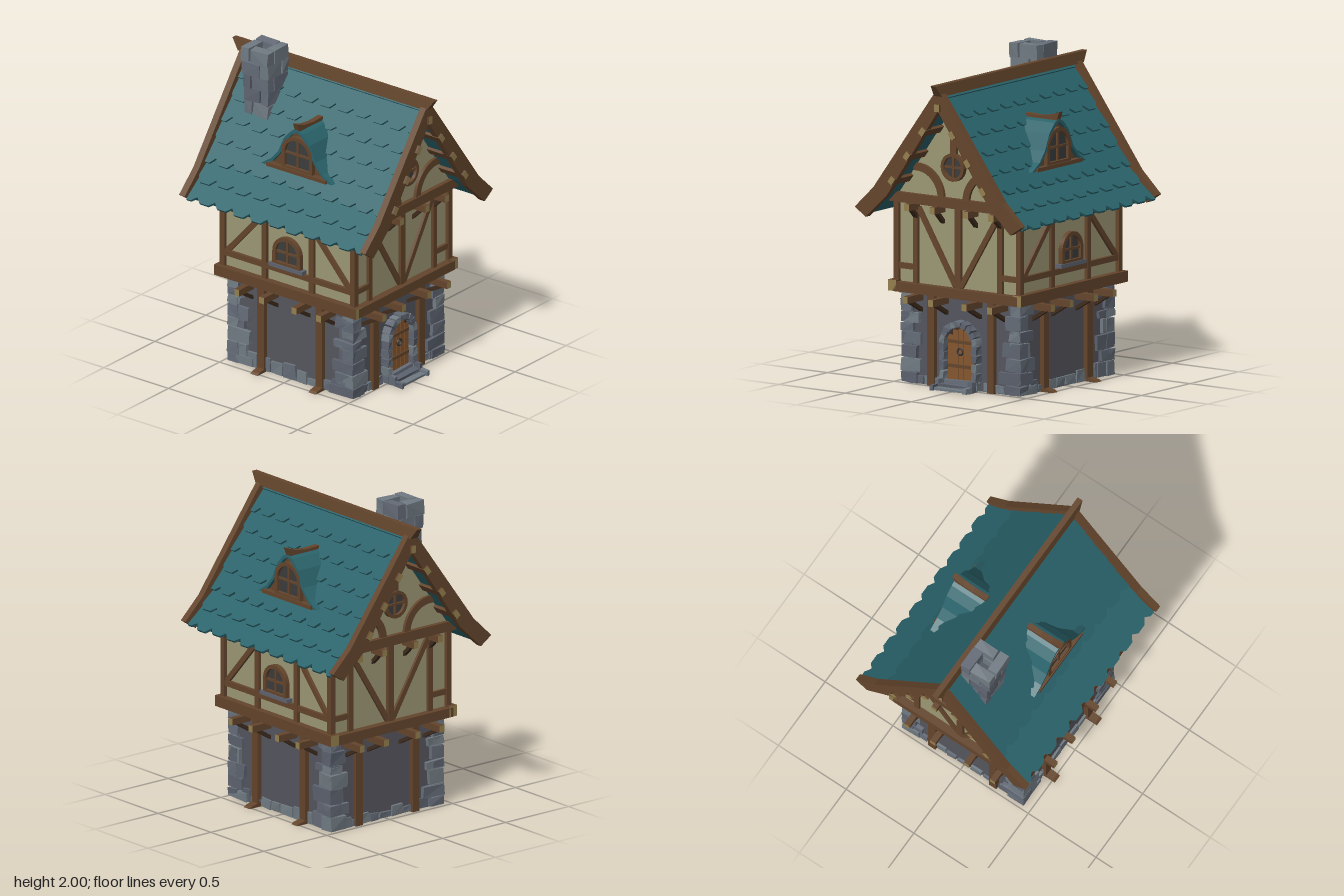
import * as THREE from 'three';
import { mergeGeometries } from 'three/addons/utils/BufferGeometryUtils.js';

const mat = (color) => new THREE.MeshStandardMaterial({ color, flatShading: true, side: THREE.DoubleSide });
const wood = mat(0x64452c), darkWood = mat(0x3f2c1e), endGrain = mat(0x94804f), doorWood = mat(0x84562f);
const plaster = mat(0x9c9774), wallGrey = mat(0x55565e), teal = mat(0x2a636b), glass = mat(0x3b3c3d), iron = mat(0x333336);
const stones = [mat(0x666d79), mat(0x5d636f), mat(0x707a82)];

let seed = 7;
const rnd = () => (seed = (seed * 16807) % 2147483647) / 2147483647;
const V = (x, y, z) => new THREE.Vector3(x, y, z);

function add(parent, name, geo, material, x = 0, y = 0, z = 0) {
  const m = new THREE.Mesh(geo, material);
  m.name = name;
  m.position.set(x, y, z);
  parent.add(m);
  return m;
}
const box = (p, name, material, w, h, d, x, y, z) => add(p, name, new THREE.BoxGeometry(w, h, d), material, x, y, z);

// Timber from a to b; its two ends can show end grain
function beam(p, name, a, b, w, d, ends = wood) {
  const dir = b.clone().sub(a), len = dir.length();
  const m = add(p, name, new THREE.BoxGeometry(w, len, d), ends === wood ? wood : [wood, wood, ends, ends, wood, wood]);
  m.position.copy(a).add(b).multiplyScalar(0.5);
  m.quaternion.setFromUnitVectors(V(0, 1, 0), dir.normalize());
  return m;
}

// Roughly cut block: a box with its eight corners nudged
function stone(p, name, w, h, d, x, y, z, turn = 0) {
  const g = new THREE.BoxGeometry(w, h, d), a = g.attributes.position;
  const off = Array.from({ length: 8 }, () => [rnd(), rnd(), rnd()].map((r) => r * 0.009));
  for (let i = 0; i < a.count; i++) {
    const c = [a.getX(i), a.getY(i), a.getZ(i)];
    const o = off[(c[0] > 0) * 4 + (c[1] > 0) * 2 + (c[2] > 0)];
    a.setXYZ(i, ...c.map((v, k) => v - Math.sign(v) * o[k]));
  }
  g.computeVertexNormals();
  const m = add(p, name, g, stones[Math.floor(rnd() * 3)], x, y, z);
  m.rotation.z = turn;
  return m;
}

const shapeOf = (pts) => new THREE.Shape(pts.map(([x, y]) => new THREE.Vector2(x, y)));
const slab = (shape, depth) => new THREE.ExtrudeGeometry(shape, { depth, bevelEnabled: false, curveSegments: 10 });
const flip = (pts) => pts.map(([x, y]) => [-x, y]);
// Symmetric band between an outer and an inner half profile, both starting on x = 0
const band = (outer, inner) => shapeOf([...flip(outer).reverse(), ...outer.slice(1), ...inner.slice().reverse(), ...flip(inner).slice(1)]);

function arch(r, straight, base = 0) {
  const s = new THREE.Shape();
  s.moveTo(-r, base);
  s.lineTo(r, base);
  s.lineTo(r, straight);
  s.absarc(0, straight, r, 0, Math.PI, false);
  s.closePath();
  return s;
}

function archWindow(p, r, straight, y, z, sill) {
  const g = new THREE.Group();
  g.name = 'archedWindow';
  g.position.set(0, y, z);
  p.add(g);
  const frame = arch(r, straight);
  frame.holes.push(arch(r - 0.025, straight, 0.02));
  add(g, 'windowFrame', slab(frame, 0.03), wood);
  add(g, 'windowPane', slab(arch(r - 0.01, straight), 0.01), glass);
  box(g, 'windowBar', wood, 0.014, straight + r - 0.01, 0.014, 0, (straight + r) / 2, 0.014);
  box(g, 'windowBar', wood, 2 * r - 0.02, 0.014, 0.014, 0, straight, 0.014);
  box(g, 'windowSill', sill > 0.2 ? wood : stones[1], sill * 2, 0.024, 0.045, 0, -0.008, 0.015);
}

// Row of joist ends, each carried by a diagonal brace
function joists(p, y, from, to) {
  for (const x of [-0.317, -0.125, 0.125, 0.317]) {
    beam(p, 'joist', V(x, y, from - 0.03), V(x, y, to), 0.038, 0.042, endGrain);
    const b = beam(p, 'joistBrace', V(x, y - 0.085, from - 0.01), V(x, y - 0.015, to - 0.045), 0.03, 0.022);
    b.material = darkWood;
  }
}

// Lower posts and joists, shared by all four sides
function lowerSide(p, zWall, out, zTop) {
  for (const s of [-1, 1]) box(p, 'lowerPost', wood, 0.052, 0.57, 0.04, s * 0.225, 0.285, zWall + 0.01);
  joists(p, 0.54, zWall, out);
  for (const s of [-1, 1]) box(p, 'cornerPost', wood, 0.036, 0.56, 0.03, s * (zTop > 0.5 ? 0.46 : 0.505), 0.89, zTop);
}

function gableSide(p) {
  lowerSide(p, 0.46, 0.625, 0.508);
  box(p, 'floorBeam', wood, 0.94, 0.06, 0.06, 0, 0.6, 0.52);
  box(p, 'centrePost', wood, 0.044, 0.52, 0.03, 0, 0.87, 0.506);
  for (const s of [-1, 1]) {
    box(p, 'innerPost', wood, 0.035, 0.52, 0.028, s * 0.317, 0.87, 0.506);
    box(p, 'sideRail', wood, 0.14, 0.035, 0.024, s * 0.39, 0.728, 0.506);
    beam(p, 'diagonalBrace', V(s * 0.3, 1.1, 0.506), V(s * 0.02, 0.64, 0.506), 0.034, 0.022);
    // curved brace beside the round window
    const t = s < 0 ? 0 : Math.PI / 2 - 0.15, c = new THREE.Shape();
    c.absarc(s * 0.275, 1.18, 0.205, t, t + Math.PI / 2 + 0.15, false);
    c.absarc(s * 0.275, 1.18, 0.158, t + Math.PI / 2 + 0.15, t, true);
    add(p, 'curvedBrace', slab(c, 0.03), wood, 0, 0, 0.535);
    // purlin ends under the verge
    for (const [x, y] of [[0.112, 1.617], [0.228, 1.455], [0.342, 1.292]]) {
      const b = beam(p, 'purlin', V(s * x, y, 0.52), V(s * x, y, 0.735), 0.036, 0.05, endGrain);
      b.rotateY(s * 0.63);
    }
  }
  beam(p, 'ridgePurlin', V(0, 1.775, 0.52), V(0, 1.775, 0.735), 0.036, 0.045, endGrain);
  add(p, 'gableWall', slab(shapeOf([[-0.47, 1.13], [0.47, 1.13], [0.42, 1.21], [0, 1.79], [-0.42, 1.21]]), 0.06), plaster, 0, 0, 0.485);
  box(p, 'gableBeam', wood, 0.95, 0.062, 0.07, 0, 1.162, 0.54);
  joists(p, 1.11, 0.505, 0.61);
  box(p, 'gablePost', wood, 0.044, 0.34, 0.03, 0, 1.62, 0.55);
  // round window
  const ring = new THREE.Shape().absarc(0, 0, 0.087, 0, Math.PI * 2, false);
  ring.holes.push(new THREE.Path().absarc(0, 0, 0.066, 0, Math.PI * 2, true));
  add(p, 'roundFrame', slab(ring, 0.04), wood, 0, 1.385, 0.535);
  add(p, 'roundPane', new THREE.CircleGeometry(0.075, 20), glass, 0, 1.385, 0.553);
  box(p, 'roundBar', wood, 0.014, 0.14, 0.014, 0, 1.385, 0.558);
  box(p, 'roundBar', wood, 0.14, 0.014, 0.014, 0, 1.385, 0.558);
  // barge boards with a kicked-out foot
  add(p, 'bargeBoards', slab(band([[0, 1.88], [0.03, 1.86], [0.487, 1.235], [0.627, 1.1]],
    [[0, 1.755], [0.385, 1.195], [0.545, 1.045]]), 0.044), wood, 0, 0, 0.677);
}

function eaveSide(p) {
  lowerSide(p, 0.425, 0.572, 0.464);
  beam(p, 'floorBeam', V(-0.55, 0.605, 0.47), V(0.55, 0.605, 0.47), 0.068, 0.06, endGrain);
  box(p, 'sideRail', wood, 1.02, 0.036, 0.024, 0, 0.728, 0.464);
  for (const s of [-1, 1]) {
    box(p, 'sidePost', wood, 0.036, 0.52, 0.026, s * 0.183, 0.87, 0.464);
    beam(p, 'diagonalBrace', V(s * 0.19, 1.06, 0.462), V(s * 0.48, 0.735, 0.462), 0.034, 0.022);
    add(p, 'postFoot', slab(shapeOf([[0, 0], [0.1, 0], [0.085, 0.012], [0, 0.03]]), 0.055), wood, s * 0.225 + 0.0275, 0, 0.42).rotation.y = -Math.PI / 2;
  }
  archWindow(p, 0.107, 0.085, 0.768, 0.46, 0.13);

  // roof tiles: overlapping rows of clipped tiles down the kicked slope
  const tiles = [], upper = 0.741, A1 = Math.atan2(0.6, 0.435), A2 = Math.atan2(0.145, 0.15), tw = 0.135;
  for (let row = 0; row < 7; row++) {
    const s = 0.962 - row * 0.136, a = s > upper ? A2 : A1, k = Math.max(0, s - upper), t = Math.min(s, upper);
    const px = t * Math.cos(A1) + k * Math.cos(A2), py = 1.815 - t * Math.sin(A1) - k * Math.sin(A2);
    for (let i = 0; i <= 10; i++) {
      const c = (i - 5 + (row % 2 ? 0.5 : 0)) * tw, drop = rnd() * 0.012, w = tw / 2;
      if (c - w > 0.66) continue;
      const cl = (x) => Math.max(-0.675, Math.min(0.675, c + x));
      const g = slab(shapeOf([[cl(-w), 0.03], [cl(-w * 0.5), -drop], [cl(w * 0.5), -drop], [cl(w), 0.03], [cl(w), 0.17], [cl(-w), 0.17]]), 0.016);
      g.rotateX(-0.1);
      const u = V(-Math.cos(a), Math.sin(a), 0), n = V(Math.sin(a), Math.cos(a), 0);
      const m = new THREE.Matrix4().makeBasis(V(0, 0, -1), u, n).setPosition(px + n.x * 0.012, py + n.y * 0.012, 0);
      tiles.push(g.applyMatrix4(m));
    }
  }
  add(p, 'roofTiles', mergeGeometries(tiles), teal).rotation.y = -Math.PI / 2;

  // dormer with a bell-shaped roof
  const bell = [[0, 1.645], [0.045, 1.625], [0.1, 1.565], [0.145, 1.465], [0.2, 1.4], [0.275, 1.352]];
  const under = [[0, 1.625], [0.035, 1.605], [0.085, 1.55], [0.13, 1.455], [0.19, 1.385], [0.25, 1.35]];
  add(p, 'dormerRoof', slab(band(bell, under), 0.285), teal, 0, 0, 0.1);
  add(p, 'dormerFront', slab(shapeOf([...under, ...flip(under).reverse()]), 0.2), wood, 0, 0, 0.16);
  archWindow(p, 0.12, 0.105, 1.368, 0.357, 0.23);
  const ridge = slab(shapeOf([[0.15, 1.625], [0.38, 1.635], [0.4, 1.69], [0.33, 1.665], [0.25, 1.655], [0.15, 1.66]]), 0.036);
  add(p, 'dormerRidge', ridge, wood, 0.018, 0, 0).rotation.y = -Math.PI / 2;
}

function stonework(p) {
  // ragged corner stones, wider towards the ground
  for (const sx of [-1, 1]) for (const sz of [-1, 1]) {
    for (let y = 0, i = 0; y < 0.56; i++) {
      const h = Math.min(0.05 + rnd() * 0.05, 0.57 - y), grow = 0.055 * (1 - y / 0.57);
      const lx = 0.065 + grow + (i % 2) * 0.04 + rnd() * 0.02, lz = 0.115 + grow - (i % 2) * 0.04 + rnd() * 0.03;
      stone(p, 'cornerStone', lx, h, 0.09, sx * (0.454 - lx / 2), y + h / 2, sz * (0.49 - 0.045));
      stone(p, 'cornerStone', 0.09, h, lz, sx * (0.452 - 0.045), y + h / 2, sz * (0.488 - lz / 2));
      y += h;
    }
  }
  // footing stones between the corners
  for (const s of [-1, 1]) {
    for (let z = -0.36; z < 0.34;) {
      const w = 0.06 + rnd() * 0.06, h = 0.05 + rnd() * 0.06;
      stone(p, 'footingStone', 0.07, h, w, s * 0.408, h / 2, z + w / 2);
      z += w;
    }
    for (let x = -0.36; x < 0.33;) {
      const w = 0.05 + rnd() * 0.05, h = 0.04 + rnd() * 0.04;
      if (s < 0 || Math.abs(x + w / 2) > 0.13) stone(p, 'footingStone', w, h, 0.07, x + w / 2, h / 2, s * 0.443);
      x += w;
    }
  }
  // chimney: pinwheel courses around an open flue, leaning slightly
  for (let i = 0; i < 6; i++) {
    const c = new THREE.Group(), k = 0.88 + i * 0.03;
    c.name = 'chimneyCourse';
    c.position.set(-0.118 - i * 0.0035, 1.505 + i * 0.09, -0.445);
    c.rotation.y = (rnd() - 0.5) * 0.08;
    c.scale.set((i % 2 ? -1 : 1) * k, 1, k);
    for (let q = 0; q < 4; q++) {
      const g = new THREE.Group();
      g.rotation.y = q * Math.PI / 2;
      stone(g, 'chimneyStone', 0.14, 0.096, 0.068, -0.035, 0, 0.071);
      c.add(g);
    }
    p.add(c);
  }
}

function doorway(p) {
  add(p, 'doorPanel', slab(arch(0.1, 0.285, 0.05), 0.02), darkWood, 0, 0, 0.462);
  for (let i = -2; i <= 2; i++) {
    const top = 0.275 + Math.sqrt(0.01 - (Math.abs(i) * 0.04) ** 2);
    box(p, 'doorPlank', doorWood, 0.036, top - 0.05, 0.02, i * 0.039, (top + 0.05) / 2, 0.476);
  }
  for (const y of [0.145, 0.295]) box(p, 'doorStrap', wood, 0.18, 0.02, 0.01, 0, y, 0.49);
  add(p, 'doorRing', new THREE.TorusGeometry(0.02, 0.006, 6, 14), iron, 0, 0.235, 0.492);
  // stone surround
  for (const s of [-1, 1]) for (let i = 0; i < 5; i++) stone(p, 'jambStone', 0.046, 0.058, 0.075, s * 0.122, 0.03 + i * 0.057, 0.487);
  for (let i = 0; i < 9; i++) {
    const t = Math.PI * (i + 0.5) / 9;
    stone(p, 'archStone', 0.046, 0.05, 0.075, Math.cos(t) * 0.121, 0.285 + Math.sin(t) * 0.121, 0.487, t);
  }
  // steps between low side blocks
  for (let i = 0; i < 3; i++) stone(p, 'doorStep', 0.24, 0.022 * (3 - i), 0.06, 0, 0.011 * (3 - i), 0.49 + i * 0.045);
  for (const s of [-1, 1]) for (let i = 0; i < 2; i++) stone(p, 'stepSide', 0.035, 0.072 - i * 0.03, 0.07, s * 0.125, 0.036 - i * 0.015, 0.53 + i * 0.06);
}

export function createModel() {
  const model = new THREE.Group();
  model.name = 'timberHouse';
  const house = new THREE.Group();
  house.name = 'house';
  house.position.z = 0.008;
  model.add(house);

  // hollow ground floor and plastered upper floor
  for (const s of [-1, 1]) {
    box(house, 'lowerWall', wallGrey, 0.85, 0.57, 0.02, 0, 0.285, s * 0.45);
    box(house, 'lowerWall', wallGrey, 0.02, 0.57, 0.92, s * 0.415, 0.285, 0);
  }
  box(house, 'upperWall', plaster, 0.91, 0.59, 1.0, 0, 0.872, 0);

  for (const [name, build, turn] of [['front', gableSide, 0], ['back', gableSide, 2], ['left', eaveSide, 1], ['right', eaveSide, 3]]) {
    const side = new THREE.Group();
    side.name = name + 'Side';
    side.rotation.y = turn * Math.PI / 2;
    build(side);
    house.add(side);
  }
  stonework(house);
  doorway(house);

  // roof deck under the tiles
  add(house, 'roofDeck', slab(band([[0, 1.815], [0.435, 1.215], [0.572, 1.083]], [[0, 1.775], [0.41, 1.2], [0.555, 1.06]]), 1.35), teal, 0, 0, -0.675);

  // ridge beam, undercut at both ends
  const g = new THREE.BoxGeometry(0.06, 0.07, 1.56), a = g.attributes.position;
  for (let i = 0; i < a.count; i++) {
    if (a.getY(i) < 0) a.setZ(i, a.getZ(i) * 0.935);
    else a.setX(i, a.getX(i) * 0.6);
  }
  g.computeVertexNormals();
  add(model, 'ridgeBeam', g, wood, 0, 1.882, 0);
  return model;
}
